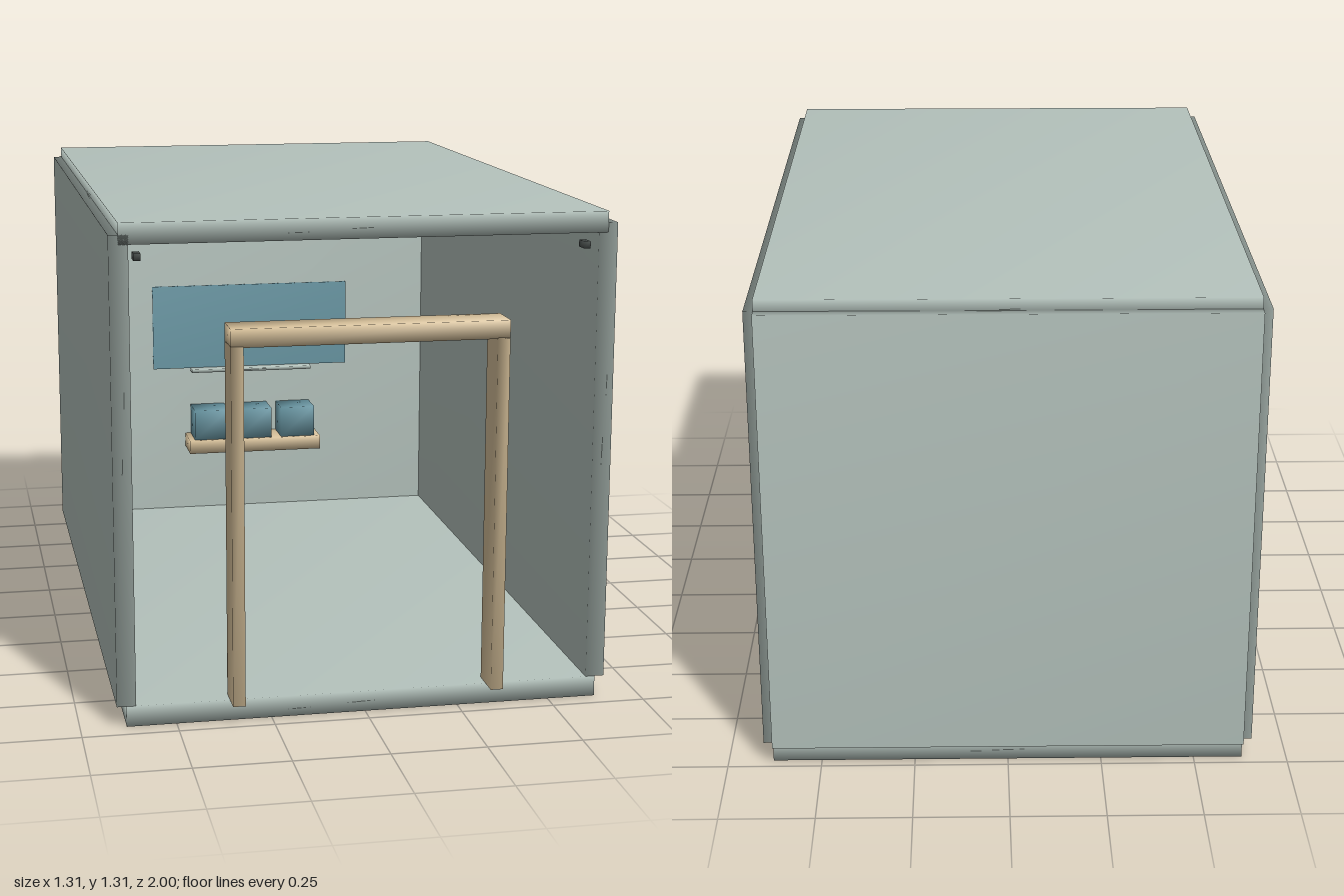
import * as THREE from 'three';
import { mergeVertices } from 'three/addons/utils/BufferGeometryUtils.js';

const paint = (name, color) => {
  const m = new THREE.MeshStandardMaterial({ color });
  m.name = name;
  return m;
};

// Box with welded corners, so its shading runs softly over the edges
function softBox(x0, x1, y0, y1, z0, z1) {
  let g = new THREE.BoxGeometry(x1 - x0, y1 - y0, z1 - z0);
  g.deleteAttribute('normal');
  g.deleteAttribute('uv');
  g = mergeVertices(g);
  g.computeVertexNormals();
  g.translate((x0 + x1) / 2, (y0 + y1) / 2, (z0 + z1) / 2);
  return g;
}

export function createModel() {
  const room = new THREE.Group();
  room.name = 'room';
  const plaster = paint('pale grey green', 0xb4c2bc);
  const wood = paint('light wood', 0xd4be98);
  const blue = paint('dusty blue', 0x6896a3);
  const dark = paint('dark grey', 0x4a504e);

  const add = (name, material, ...bounds) => {
    const mesh = new THREE.Mesh(softBox(...bounds), material);
    mesh.name = name;
    room.add(mesh);
  };

  // Shell, open at the front
  add('floor', plaster, -0.63, 0.63, 0, 0.055, -0.97, 0.947);
  add('ceiling', plaster, -0.63, 0.63, 1.255, 1.31, -0.97, 0.947);
  add('backWall', plaster, -0.63, 0.63, 0.055, 1.28, -1, -0.945);
  add('leftWall', plaster, 0.605, 0.655, 0.055, 1.28, -0.97, 0.947);
  add('rightWall', plaster, -0.655, -0.605, 0.055, 1.28, -0.97, 0.947);

  // Door frame standing in the open front
  add('leftDoorPost', wood, 0.327, 0.36, 0.055, 1, 0.9, 1);
  add('rightDoorPost', wood, -0.36, -0.327, 0.055, 1, 0.9, 1);
  add('doorLintel', wood, -0.36, 0.36, 0.997, 1.045, 0.9, 1);

  // Fittings on the back wall
  add('windowPane', blue, -0.335, 0.335, 0.55, 0.835, -0.946, -0.937);
  add('upperLedge', plaster, -0.263, 0.26, 1.057, 1.069, -0.946, -0.9);
  add('lowerLedge', plaster, -0.207, 0.205, 0.54, 0.551, -0.946, -0.9);
  add('shelf', wood, -0.227, 0.224, 0.275, 0.32, -0.946, -0.82);
  for (const x of [-0.15, -0.002, 0.147]) {
    add('shelfBox', blue, x - 0.058, x + 0.058, 0.32, 0.422, -0.94, -0.83);
  }

  // Small fixings under the front of the ceiling
  for (const x of [-0.582, 0.58]) {
    add('ceilingFixing', dark, x - 0.009, x + 0.009, 1.212, 1.23, 0.89, 0.93);
  }
  return room;
}
